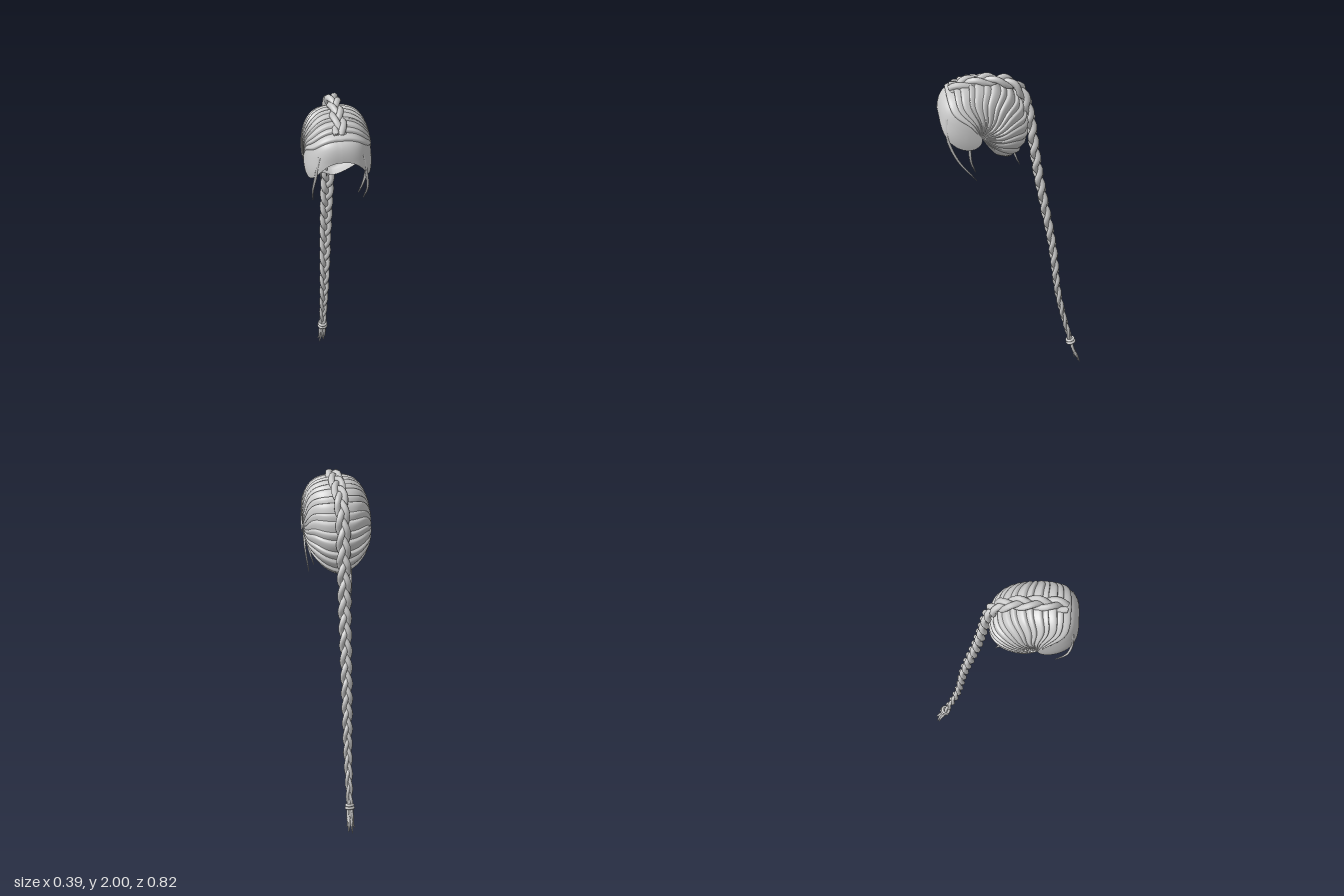
import * as THREE from 'three';

const { lerp, clamp, degToRad } = THREE.MathUtils;
const material = new THREE.MeshStandardMaterial({ color: 0xcccccc, side: THREE.DoubleSide });
const V = (x, y, z) => new THREE.Vector3(x, y, z);

// Straight-line lookup in a short list of [key, value] pairs
function lookup(pairs, k) {
  for (let i = 1; i < pairs.length; i++) {
    const [a, va] = pairs[i - 1], [b, vb] = pairs[i];
    if (k <= b) return lerp(va, vb, clamp((k - a) / (b - a), 0, 1));
  }
  return pairs[pairs.length - 1][1];
}

function addMesh(parent, name, geometry) {
  const mesh = new THREE.Mesh(geometry, material);
  mesh.name = name;
  parent.add(mesh);
  return mesh;
}

// Tube whose radius follows radiusAt(t)
function taperedTube(points, radiusAt, segments, sides) {
  const curve = new THREE.CatmullRomCurve3(points);
  curve.arcLengthDivisions = 600;
  const geometry = new THREE.TubeGeometry(curve, segments, 0.01, sides);
  const pos = geometry.attributes.position, v = V(0, 0, 0);
  for (let i = 0; i <= segments; i++) {
    const centre = curve.getPointAt(i / segments), scale = radiusAt(i / segments) / 0.01;
    for (let j = 0; j <= sides; j++) {
      const k = i * (sides + 1) + j;
      v.fromBufferAttribute(pos, k).sub(centre).multiplyScalar(scale).add(centre);
      pos.setXYZ(k, v.x, v.y, v.z);
    }
  }
  return geometry;
}

// Side outline of the cap: angle about the ear axis, distance from it
const EAR = { y: 1.69, z: 0.175 };
const OUTLINE = [[-95, 0.25], [20, 0.25], [28, 0.258], [42, 0.277], [62, 0.276], [90, 0.262], [132, 0.268],
  [160, 0.268], [180, 0.272], [205, 0.285], [225, 0.295], [243, 0.262]];
// Fullness of the cross-section: boxy over the crown, pointed at the nape
const FULLNESS = [[40, 2.7], [100, 2.8], [170, 2.7], [195, 2.5], [220, 2], [243, 1.45]];

// Point on the cap: angle in degrees, s from the ear (0) to the crown line (1)
function capPoint(angle, s, side, lift) {
  const p = lookup(FULLNESS, angle);
  const r = (lookup(OUTLINE, angle) + lift * Math.min(1, s * 2)) * s;
  const x = (0.191 + lift * 0.5 * Math.min(1, s * 3)) * Math.pow(Math.max(0, 1 - Math.pow(s, p)), 1 / p);
  const a = degToRad(angle);
  return [side * x, EAR.y + r * Math.sin(a), EAR.z + r * Math.cos(a)];
}

// One overlapping lock, fanning from the ear up to the crown line
function lockGeometry(from, to, side, plain) {
  const rows = 28, cols = 7, position = [], index = [];
  for (let i = 0; i <= rows; i++) {
    const s = Math.sin((i / rows) * Math.PI / 2);
    const hairline = -95 + 115 * s;
    const wave = 5 * Math.sin(s * Math.PI * 2);
    for (let j = 0; j <= cols; j++) {
      const t = j / cols;
      const sway = wave * (plain ? t : clamp((243 - lerp(from, to, t)) / 40, 0, 1));
      const start = plain ? hairline : from;
      const angle = Math.max(hairline, lerp(start, to, t) + sway);
      const lift = plain ? 0.006 * Math.sin(t * Math.PI) : 0.015 * Math.sin(Math.PI * Math.pow(t, 0.55)) - 0.003;
      position.push(...capPoint(angle, s, side, lift));
      if (i < rows && j < cols) {
        const a = i * (cols + 1) + j, b = a + 1, c = a + cols + 1, d = c + 1;
        if (side > 0) index.push(a, c, b, b, c, d);
        else index.push(a, b, c, b, d, c);
      }
    }
  }
  const geometry = new THREE.BufferGeometry();
  geometry.setAttribute('position', new THREE.Float32BufferAttribute(position, 3));
  geometry.setIndex(index);
  geometry.computeVertexNormals();
  return geometry;
}

function buildCap() {
  const cap = new THREE.Group();
  cap.name = 'hairCap';
  const edges = [48, 59, 67, 78, 85, 97, 106, 119, 128, 142, 152, 166, 176, 191, 202, 217, 228, 243];
  for (const side of [1, -1]) {
    addMesh(cap, 'frontSweep', lockGeometry(-95, 49, side, true));
    for (let i = 1; i < edges.length; i++) {
      addMesh(cap, 'hairLock', lockGeometry(edges[i - 1] - 1, edges[i], side, false));
    }
  }
  return cap;
}

// Three strands woven along a path over the crown and down the back
function buildBraid() {
  const braid = new THREE.Group();
  braid.name = 'braid';
  const path = new THREE.CatmullRomCurve3([
    [1.925, 0.345], [1.958, 0.25], [1.97, 0.14], [1.945, 0], [1.875, -0.075], [1.74, -0.115], [1.56, -0.138],
    [1.28, -0.173], [0.81, -0.25], [0.47, -0.285], [0.23, -0.335], [0.14, -0.358],
  ].map(([y, z]) => V(0, y, z)));
  const width = t => lookup([[0, 0.047], [0.45, 0.042], [0.75, 0.033], [1, 0.02]], t);
  const samples = 240, turns = 7.5;
  for (let k = 0; k < 3; k++) {
    const points = [];
    for (let i = 0; i <= samples; i++) {
      const t = i / samples, p = path.getPointAt(t), T = path.getTangentAt(t);
      const phase = 2 * Math.PI * (turns * (0.85 * t + 0.15 * t * t) + k / 3);
      const across = 0.56 * width(t) * Math.sin(phase), out = 0.3 * width(t) * Math.sin(2 * phase);
      points.push(V(across, p.y - T.z * out, p.z + T.y * out));
    }
    const radius = t => 0.43 * width(t) * clamp(Math.min(t, 1 - t) * 240, 0.05, 1);
    addMesh(braid, 'braidStrand', taperedTube(points, radius, 240, 8));
  }

  // Tie near the end
  const tangent = path.getTangentAt(1);
  for (const [y, z, r] of [[0.158, -0.353, 0.019], [0.142, -0.357, 0.021]]) {
    const tie = addMesh(braid, 'hairTie', new THREE.TorusGeometry(r, 0.008, 8, 20));
    tie.position.set(0, y, z);
    tie.quaternion.setFromUnitVectors(V(0, 0, 1), tangent);
  }

  // Loose ends below the tie
  const ends = [[-0.024, 0.03, -0.39], [-0.01, 0.0, -0.4], [0.004, 0.035, -0.375], [0.014, 0.008, -0.405], [0.025, 0.04, -0.395]];
  for (const [x, y, z] of ends) {
    const points = [V(x * 0.3, 0.15, -0.355), V(x * 0.55, 0.09, -0.37), V(x * 0.6, 0.05, z * 0.5 - 0.188), V(x, y, z)];
    addMesh(braid, 'looseEnd', taperedTube(points, t => 0.01 * Math.sqrt(1 - t) + 0.001, 14, 6));
  }
  return braid;
}

// Thin wisps at the temples and nape
function buildWisps() {
  const wisps = new THREE.Group();
  wisps.name = 'wisps';
  const paths = [
    [0.01, [0.125, 1.8, 0.37], [0.145, 1.67, 0.368], [0.16, 1.53, 0.31], [0.15, 1.38, 0.2]],
    [0.011, [0.168, 1.7, 0.25], [0.162, 1.6, 0.245], [0.145, 1.51, 0.235], [0.12, 1.42, 0.205]],
    [0.01, [-0.125, 1.8, 0.37], [-0.148, 1.67, 0.37], [-0.16, 1.56, 0.34], [-0.15, 1.44, 0.27]],
    [0.01, [-0.05, 1.54, -0.02], [-0.055, 1.46, -0.03], [-0.055, 1.4, -0.045], [-0.05, 1.34, -0.07]],
    [0.008, [-0.03, 1.54, 0.01], [-0.032, 1.49, 0.015], [-0.032, 1.45, 0.01], [-0.03, 1.41, 0]],
  ];
  for (const [radius, ...points] of paths) {
    const taper = t => radius * Math.sqrt(1 - t) + 0.0005;
    addMesh(wisps, 'wisp', taperedTube(points.map(p => V(...p)), taper, 24, 6));
  }
  return wisps;
}

export function createModel() {
  const model = new THREE.Group();
  model.name = 'braidedHair';
  model.add(buildCap(), buildBraid(), buildWisps());
  return model;
}
